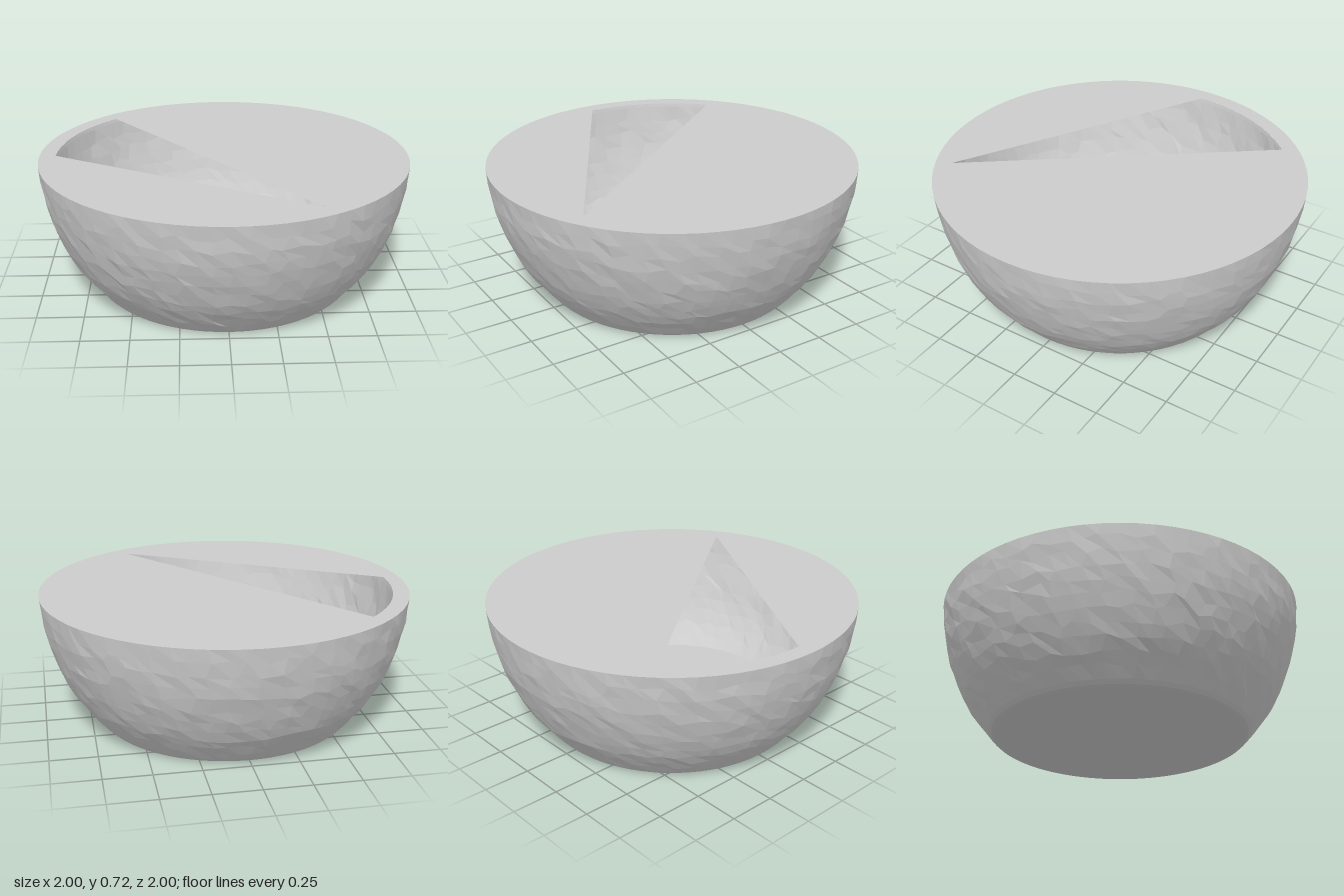
import * as THREE from 'three';

const HEIGHT = 0.72, INNER_RADIUS = 0.912;

const material = (options = {}) => new THREE.MeshStandardMaterial({ color: 0xcccccc, ...options });
const points = (list) => list.map(([x, y]) => new THREE.Vector2(x, y));
const curvePoints = (list, rows) => new THREE.SplineCurve(points(list)).getSpacedPoints(rows);

// Repeatable noise in -1..1 for a row and column
function noise(row, column, seed) {
  const s = Math.sin(row * 127.1 + column * 311.7 + seed * 74.7) * 43758.5453;
  return (s - Math.floor(s)) * 2 - 1;
}

// Turned wall whose inner rows are nudged to give an irregular, hammered surface
function hammeredWall(profile, segments, seed) {
  const geometry = new THREE.LatheGeometry(profile, segments);
  const position = geometry.attributes.position;
  const rows = profile.length;
  for (let i = 0; i < position.count; i++) {
    const row = i % rows, column = Math.floor(i / rows) % segments;
    if (row === 0 || row === rows - 1) continue;
    const radius = profile[row].x + 0.004 * noise(row, column, seed);
    const angle = (column + 0.3 * noise(row, column, seed + 1)) / segments * Math.PI * 2;
    // Slide along the wall so the silhouette keeps its curve
    const slide = 0.25 * noise(row, column, seed + 2);
    const next = profile[row + Math.sign(slide)];
    const t = Math.abs(slide);
    const r = radius + (next.x - profile[row].x) * t;
    const y = profile[row].y + (next.y - profile[row].y) * t;
    position.setXYZ(i, r * Math.sin(angle), y, r * Math.cos(angle));
  }
  return geometry;
}

export function createModel() {
  const group = new THREE.Group();
  const add = (name, geometry, mat) => {
    const mesh = new THREE.Mesh(geometry, mat);
    mesh.name = name;
    group.add(mesh);
  };

  // Outer bowl wall
  const outer = curvePoints([[0.715, 0.025], [0.85, 0.2], [0.94, 0.4], [0.985, 0.58], [1, HEIGHT]], 11);
  add('outerWall', hammeredWall(outer, 72, 1), material({ flatShading: true }));

  // Flat base with a small bevel
  const base = points([[0, 0], [0.67, 0], [0.695, 0.006], [0.715, 0.025]]);
  add('base', new THREE.LatheGeometry(base, 72), material({ flatShading: true }));

  // Narrow lip just below the rim, then the curved inner wall
  const lip = points([[INNER_RADIUS, HEIGHT], [0.907, 0.7]]);
  add('innerLip', new THREE.LatheGeometry(lip, 72), material());
  const inner = curvePoints([[0.907, 0.7], [0.885, 0.58], [0.83, 0.4], [0.75, 0.22], [0.635, 0.083]], 9);
  add('innerWall', hammeredWall(inner, 72, 5), material({ flatShading: true }));

  // Inner floor
  const floor = new THREE.CircleGeometry(0.635, 72).rotateX(-Math.PI / 2).translate(0, 0.083, 0);
  add('innerFloor', floor, material());

  // Thin flat top, flush with the rim, with a wedge-shaped opening
  const top = new THREE.Shape().absarc(0, 0, 1, 0, Math.PI * 2, false);
  const wedge = new THREE.Path();
  const start = Math.PI - 0.81;
  wedge.moveTo(0.46, -0.785);
  wedge.lineTo(INNER_RADIUS * Math.cos(start), INNER_RADIUS * Math.sin(start));
  wedge.absarc(0, 0, INNER_RADIUS, start, Math.PI, false);
  wedge.closePath();
  top.holes.push(wedge);
  const lid = new THREE.ShapeGeometry(top, 36).rotateX(-Math.PI / 2).translate(0, HEIGHT, 0);
  add('top', lid, material({ side: THREE.DoubleSide }));

  return group;
}
